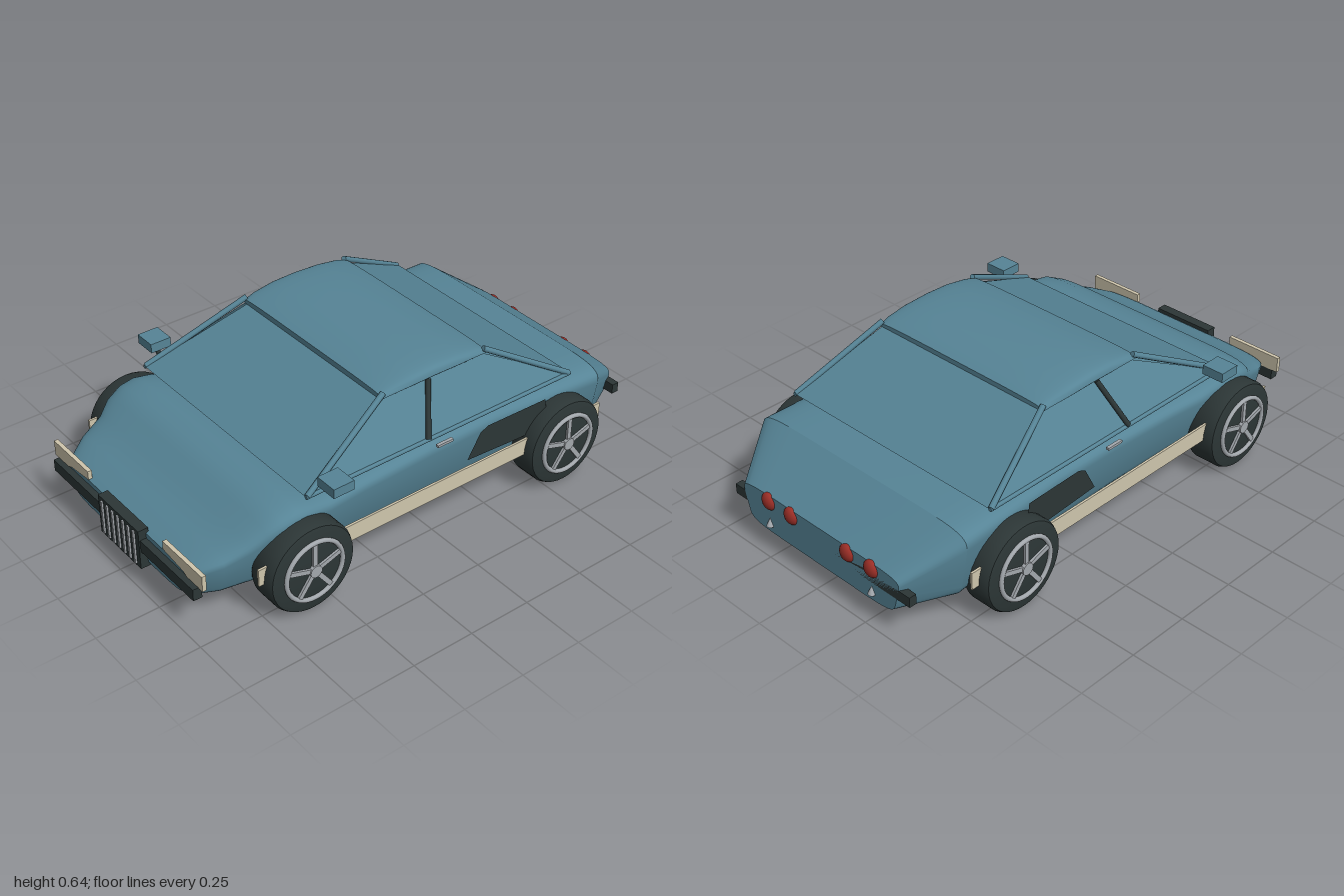
import * as THREE from 'three';
import { toCreasedNormals } from 'three/addons/utils/BufferGeometryUtils.js';

const mat = (name, color, side = THREE.FrontSide) => {
  const m = new THREE.MeshStandardMaterial({ color, side });
  m.name = name;
  return m;
};

export function createModel() {
  const paint = mat('blue paint', 0x568496, THREE.DoubleSide);
  const dark = mat('charcoal', 0x2c3636, THREE.DoubleSide);
  const cream = mat('cream', 0xcfc6ad);
  const metal = mat('light metal', 0xa3a8ad);
  const red = mat('tail red', 0x9c2f27);
  const car = new THREE.Group();
  car.name = 'car';

  const add = (name, geo, material, x = 0, y = 0, z = 0, parent = car) => {
    const m = new THREE.Mesh(geo, material);
    m.name = name;
    m.position.set(x, y, z);
    parent.add(m);
    return m;
  };
  const box = (name, material, x0, x1, y0, y1, z0, z1) =>
    add(name, new THREE.BoxGeometry(Math.abs(x1 - x0), y1 - y0, Math.abs(z1 - z0)), material,
      (x0 + x1) / 2, (y0 + y1) / 2, (z0 + z1) / 2);
  const rod = (name, material, a, b, r) => {
    const p = new THREE.Vector3(...a), q = new THREE.Vector3(...b);
    const m = add(name, new THREE.CylinderGeometry(r, r, p.distanceTo(q), 8), material);
    m.position.copy(p).lerp(q, 0.5);
    m.quaternion.setFromUnitVectors(new THREE.Vector3(0, 1, 0), q.sub(p).normalize());
  };
  // Flat convex panel from corner points
  const panel = (name, material, pts) => {
    const g = new THREE.BufferGeometry();
    g.setAttribute('position', new THREE.Float32BufferAttribute(pts.flat(), 3));
    const idx = [];
    for (let i = 1; i < pts.length - 1; i++) idx.push(0, i, i + 1);
    g.setIndex(idx);
    g.computeVertexNormals();
    return add(name, g, material);
  };
  // Closed skin through rounded sections [z, halfWidth, bottom, top], front to back
  const loft = (sections, power, taper, crease) => {
    const n = 48, pos = [], idx = [];
    const pw = (v) => Math.sign(v) * Math.abs(v) ** (2 / power);
    for (const [z, w, y0, y1] of sections) {
      for (let j = 0; j < n; j++) {
        const a = (j / n) * Math.PI * 2, v = pw(Math.sin(a));
        pos.push(w * pw(Math.cos(a)) * (1 + taper * (v - 1) / 2), (y0 + y1) / 2 + v * (y1 - y0) / 2, z);
      }
    }
    const last = sections.length - 1;
    for (let i = 0; i < last; i++) {
      for (let j = 0; j < n; j++) {
        const a = i * n + j, b = i * n + (j + 1) % n;
        idx.push(a, a + n, b, b, a + n, b + n);
      }
    }
    for (const i of [0, last]) {
      const [z, , y0, y1] = sections[i], c = pos.length / 3;
      pos.push(0, (y0 + y1) / 2, z);
      for (let j = 0; j < n; j++) {
        const a = i * n + j, b = i * n + (j + 1) % n;
        idx.push(c, ...(i ? [b, a] : [a, b]));
      }
    }
    const g = new THREE.BufferGeometry();
    g.setAttribute('position', new THREE.Float32BufferAttribute(pos, 3));
    g.setIndex(idx);
    return toCreasedNormals(g, crease);
  };

  // Main body shell
  add('body', loft([
    [0.96, 0.38, 0.1, 0.225], [0.935, 0.42, 0.092, 0.24], [0.86, 0.465, 0.09, 0.275],
    [0.77, 0.49, 0.09, 0.315], [0.72, 0.515, 0.095, 0.36], [0.66, 0.53, 0.1, 0.388],
    [0.6, 0.533, 0.105, 0.397], [0.53, 0.528, 0.11, 0.385], [0.45, 0.51, 0.115, 0.358],
    [0.3, 0.5, 0.115, 0.363], [0, 0.5, 0.115, 0.38], [-0.3, 0.505, 0.115, 0.391],
    [-0.55, 0.525, 0.11, 0.395], [-0.78, 0.533, 0.09, 0.39], [-0.975, 0.41, 0.09, 0.25],
  ], 7, 0.1, 0.55), paint);
  box('floor', dark, -0.36, 0.36, 0.065, 0.12, -0.83, 0.84);

  // Roof and cabin
  add('roof', loft([
    [0.165, 0.395, 0.578, 0.605], [0.12, 0.4, 0.578, 0.622], [0.03, 0.405, 0.578, 0.638],
    [-0.07, 0.405, 0.578, 0.643], [-0.18, 0.405, 0.578, 0.636], [-0.27, 0.4, 0.578, 0.622],
    [-0.308, 0.395, 0.578, 0.605],
  ], 4, -0.05, 0.7), paint);
  panel('windshield', paint, [[-0.49, 0.41, 0.555], [0.49, 0.41, 0.555], [0.385, 0.585, 0.16], [-0.385, 0.585, 0.16]]);
  panel('rearWindow', paint, [[0.49, 0.41, -0.65], [-0.49, 0.41, -0.65], [-0.395, 0.59, -0.3], [0.395, 0.59, -0.3]]);
  for (const s of [1, -1]) {
    panel('sideWindow', paint, [[s * 0.495, 0.41, 0.54], [s * 0.495, 0.41, -0.64], [s * 0.4, 0.585, -0.3], [s * 0.4, 0.585, 0.15]]);
    rod('frontPillar', paint, [s * 0.495, 0.41, 0.55], [s * 0.4, 0.605, 0.155], 0.011);
    rod('rearPillar', paint, [s * 0.495, 0.41, -0.645], [s * 0.4, 0.605, -0.3], 0.011);
    rod('doorPillar', dark, [s * 0.5, 0.413, 0.03], [s * 0.407, 0.588, -0.04], 0.01);
    rod('windowRail', paint, [s * 0.495, 0.408, 0.555], [s * 0.495, 0.408, -0.65], 0.008);

    // Side trim
    box('sideStripe', cream, s * 0.531, s * 0.54, 0.175, 0.243, -0.78, 0.785);
    panel('sideVent', dark, [[-0.15, 0.245], [-0.205, 0.345], [-0.24, 0.362], [-0.5, 0.372], [-0.52, 0.245]]
      .map(([z, y]) => [s * (0.508 + (-z - 0.15) * 0.06), y, z]));
    box('doorHandle', metal, s * 0.495, s * 0.508, 0.362, 0.372, -0.08, -0.01);

    // Mirrors
    box('mirror', paint, s * 0.505, s * 0.595, 0.445, 0.482, 0.43, 0.515);
    rod('mirrorArm', dark, [s * 0.49, 0.42, 0.485], [s * 0.535, 0.45, 0.48], 0.01);

    // Headlights
    const lamp = new THREE.Shape([[0.24, 0.265], [0.24, 0.23], [0.36, 0.215], [0.385, 0.203], [0.475, 0.203], [0.475, 0.265]]
      .map(([x, y]) => new THREE.Vector2(s * x, y)));
    add('headlight', new THREE.ExtrudeGeometry(lamp, { depth: 0.016, bevelEnabled: false }), cream, 0, 0, 0.947);

    // Tail lights and exhaust tips
    for (const x of [0.145, 0.265]) {
      add('tailLight', new THREE.SphereGeometry(0.034, 20, 14), red, s * x, 0.222, -0.972).scale.z = 0.6;
    }
    add('exhaustTip', new THREE.ConeGeometry(0.016, 0.032, 12), metal, s * 0.265, 0.135, -0.975);
  }

  // Bumpers and grille
  box('frontBumper', dark, -0.45, 0.45, 0.158, 0.205, 0.95, 0.985);
  box('rearBumper', dark, -0.45, 0.45, 0.165, 0.205, -0.975, -0.945);
  box('grille', dark, -0.13, 0.13, 0.083, 0.246, 0.95, 0.99);
  for (let i = -3; i <= 3; i++) {
    box('grilleBar', metal, i * 0.034 - 0.005, i * 0.034 + 0.005, 0.095, 0.235, 0.985, 0.997);
  }

  // Wheels
  const tyreGeo = toCreasedNormals(new THREE.LatheGeometry([
    [0, -0.065], [0.15, -0.065], [0.168, -0.06], [0.175, -0.045],
    [0.175, 0.045], [0.168, 0.06], [0.15, 0.065], [0, 0.065],
  ].map(([r, y]) => new THREE.Vector2(r, y)), 40).rotateZ(-Math.PI / 2), 0.5);
  const ringGeo = new THREE.TorusGeometry(0.117, 0.009, 8, 40).rotateY(Math.PI / 2);
  const hubGeo = new THREE.CylinderGeometry(0.024, 0.024, 0.02, 16).rotateZ(Math.PI / 2);
  const spokeGeo = new THREE.BoxGeometry(0.014, 0.1, 0.018).translate(0, 0.065, 0);
  for (const s of [1, -1]) {
    for (const z of [0.59, -0.575]) {
      const wheel = new THREE.Group();
      wheel.name = z > 0 ? 'frontWheel' : 'rearWheel';
      wheel.position.set(s * 0.518, 0.175, z);
      if (s < 0) wheel.rotation.y = Math.PI;
      add('tyre', tyreGeo, dark, 0, 0, 0, wheel);
      add('rim', ringGeo, metal, 0.069, 0, 0, wheel);
      add('hub', hubGeo, metal, 0.069, 0, 0, wheel);
      for (let i = 0; i < 5; i++) {
        add('spoke', spokeGeo, metal, 0.067, 0, 0, wheel).rotation.x = (i / 5) * Math.PI * 2;
      }
      car.add(wheel);
    }
  }
  return car;
}
